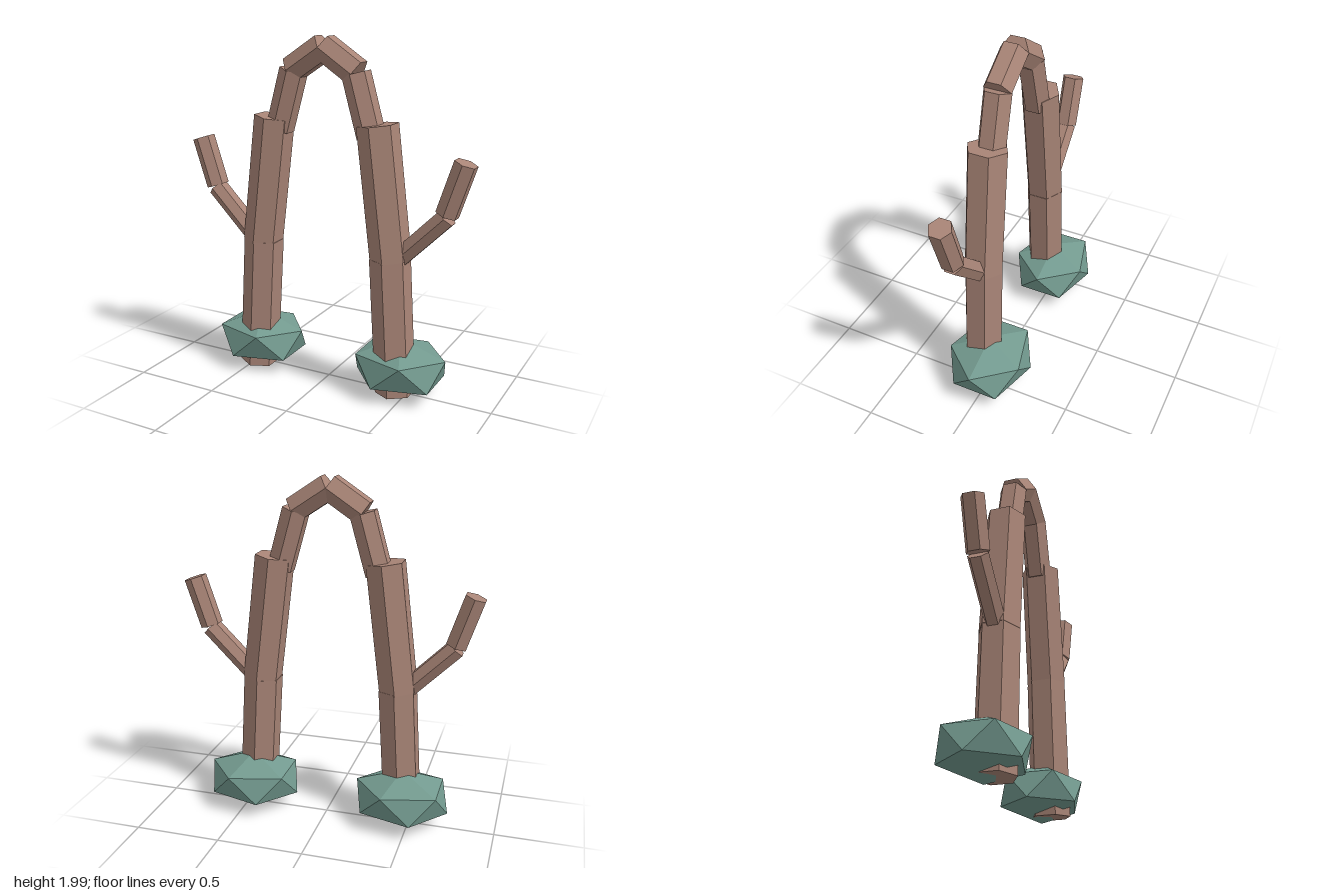
import * as THREE from 'three';

const bark = new THREE.MeshStandardMaterial({ color: 0xa98577 });
bark.name = 'barkBrown';
const leaf = new THREE.MeshStandardMaterial({ color: 0x739a8f });
leaf.name = 'leafGreen';

const DEPTH = 0.054; // z of the wooden arch

// Flat-sided hexagonal log between two points of the arch plane
function log(name, radius, x0, y0, x1, y1) {
  const length = Math.hypot(x1 - x0, y1 - y0);
  const geo = new THREE.CylinderGeometry(radius, radius, length, 6).toNonIndexed();
  geo.computeVertexNormals();
  const mesh = new THREE.Mesh(geo, bark);
  mesh.name = name;
  mesh.position.set((x0 + x1) / 2, (y0 + y1) / 2, DEPTH);
  mesh.rotation.z = -Math.atan2(x1 - x0, y1 - y0);
  return mesh;
}

// Squashed icosahedron standing on one of its corners
function bush(x) {
  const geo = new THREE.IcosahedronGeometry(1, 0);
  geo.rotateZ(-Math.atan(2 / (1 + Math.sqrt(5))));
  geo.scale(0.302, 0.168, 0.257);
  const mesh = new THREE.Mesh(geo, leaf);
  mesh.name = 'bush';
  mesh.position.set(x, 0.174, 0);
  return mesh;
}

// Name, radius, start x and y, end x and y for the +x half
const logs = [
  ['lowerTrunk', 0.115, 0.453, 0.035, 0.405, 0.82],
  ['upperTrunk', 0.115, 0.409, 0.813, 0.318, 1.547],
  ['archShoulder', 0.08, 0.283, 1.48, 0.19, 1.81],
  ['archTop', 0.08, 0.197, 1.812, 0, 1.942],
  ['lowerBranch', 0.058, 0.43, 0.8, 0.725, 1.095],
  ['upperBranch', 0.065, 0.723, 1.107, 0.815, 1.388],
];

export function createModel() {
  const model = new THREE.Group();
  model.name = 'treeArch';
  for (const side of [1, -1]) {
    const half = new THREE.Group();
    half.name = side > 0 ? 'leftTree' : 'rightTree';
    for (const [name, r, x0, y0, x1, y1] of logs) {
      half.add(log(name, r, side * x0, y0, side * x1, y1));
    }
    half.add(bush(side * 0.457));
    model.add(half);
  }
  return model;
}
